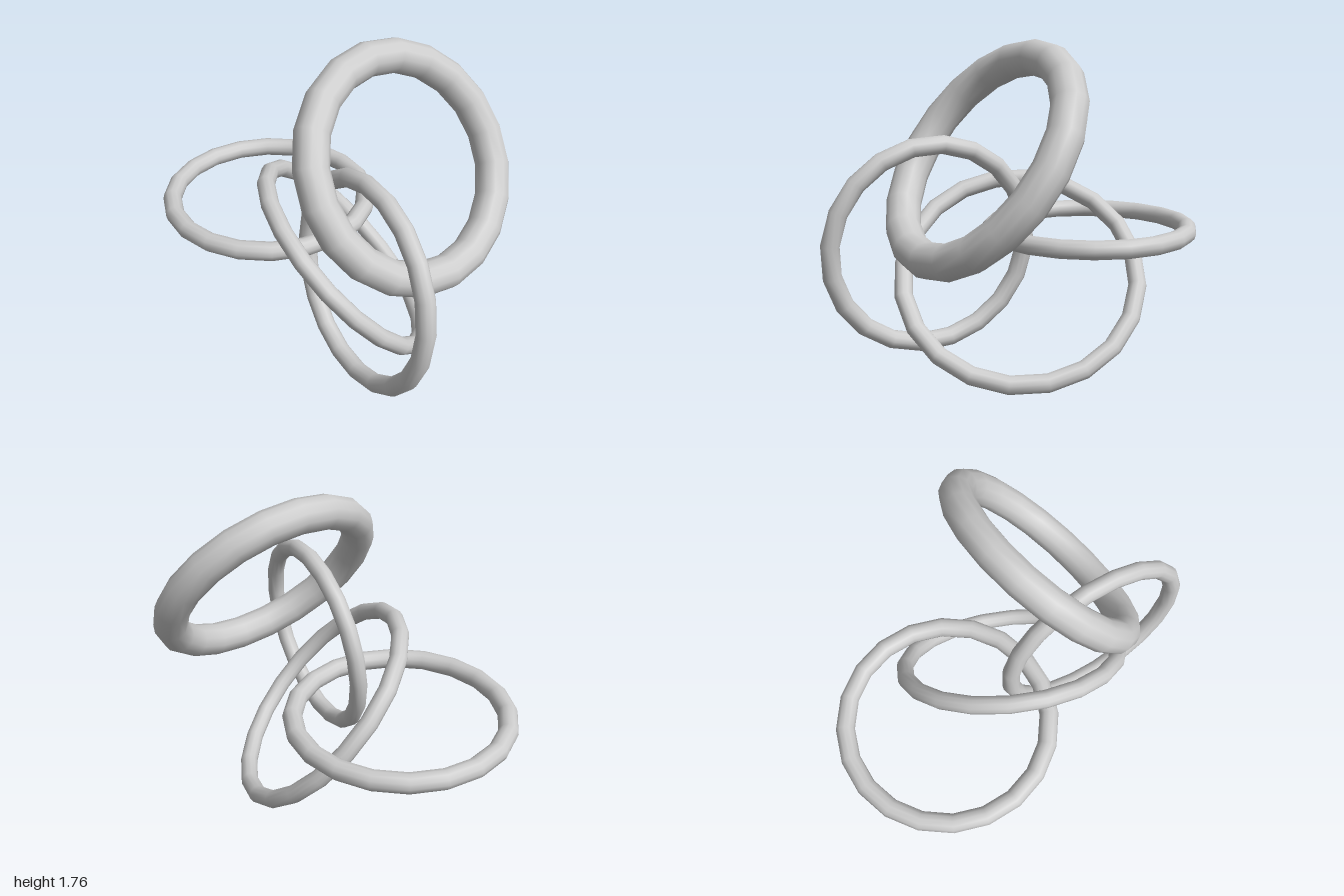
import * as THREE from 'three';

// Four interlinked rings: centre, axis direction, ring radius, tube radius
const RINGS = [
  { name: 'flatRing', centre: [-0.38, 0.69, -0.25], axis: [0, 1, 0], radius: 0.567, tube: 0.053 },
  { name: 'thickRing', centre: [0.47, 1.2, 0.08], axis: [0.667, 0.561, 0.491], radius: 0.58, tube: 0.092 },
  { name: 'uprightRing', centre: [0.317, 0.686, 0.427], axis: [0.71, -0.09, -0.7], radius: 0.55, tube: 0.05 },
  { name: 'tiltedRing', centre: [0.138, 0.52, -0.01], axis: [0.674, 0.687, -0.269], radius: 0.633, tube: 0.049 },
];

export function createModel() {
  const group = new THREE.Group();
  group.name = 'linkedRings';
  const material = new THREE.MeshStandardMaterial({ color: 0xcccccc });
  const forward = new THREE.Vector3(0, 0, 1);

  for (const { name, centre, axis, radius, tube } of RINGS) {
    const ring = new THREE.Mesh(new THREE.TorusGeometry(radius, tube, 12, 20), material);
    ring.name = name;
    ring.position.set(...centre);
    // Turn the ring's axis from +z to its own direction
    ring.quaternion.setFromUnitVectors(forward, new THREE.Vector3(...axis).normalize());
    group.add(ring);
  }
  return group;
}
